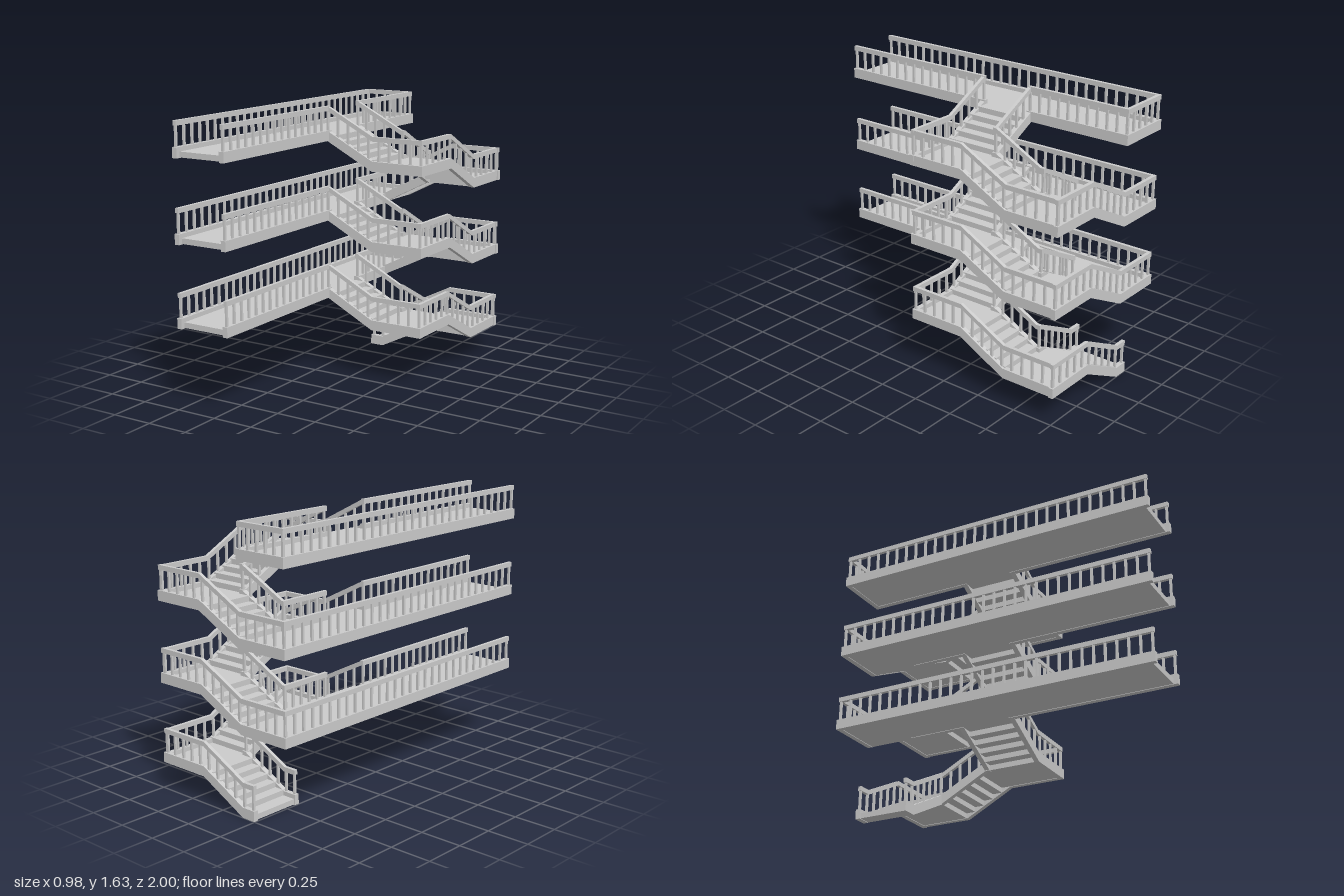
import * as THREE from 'three';
import { mergeGeometries } from 'three/addons/utils/BufferGeometryUtils.js';

const RISE = 0.1583;                 // height of one flight
const LEVEL = RISE * 3;              // three flights per storey
const STRINGER_H = 0.06, STRINGER_W = 0.03;
const RAIL_LOW = 0.175, RAIL_TOP = 0.203, RAIL_W = 0.021;
const POST = 0.013, POST_GAP = 0.067;
const FLOOR_LOW = 0.003, FLOOR_TOP = 0.035;
const STEPS = 5;

const mat = new THREE.MeshStandardMaterial({ color: 0xcccccc, flatShading: true });

function mesh(geo, name) {
  const m = new THREE.Mesh(geo, mat);
  m.name = name;
  return m;
}

// height of a polyline [[s, y], ...] at s
function heightAt(pts, s) {
  for (let i = 1; i < pts.length; i++) {
    const [s0, y0] = pts[i - 1], [s1, y1] = pts[i];
    if (s <= s1) return y0 + (y1 - y0) * (s - s0) / (s1 - s0);
  }
  return pts[pts.length - 1][1];
}

// band following the polyline between two heights above it
function band(pts, low, high, width, trim) {
  const p = pts.map(([s, y]) => [s, y]);
  p[0][0] += trim;
  p[p.length - 1][0] -= trim;
  const outline = [
    ...p.map(([s, y]) => new THREE.Vector2(s, y + low)),
    ...p.reverse().map(([s, y]) => new THREE.Vector2(s, y + high)),
  ];
  const geo = new THREE.ExtrudeGeometry(new THREE.Shape(outline), { depth: width, bevelEnabled: false });
  return geo.translate(0, 0, -width / 2);
}

// stringer, balusters and handrail along x or z at a fixed cross position
function railing(name, axis, at, pts) {
  const g = new THREE.Group();
  g.name = name;
  g.add(mesh(band(pts, 0, STRINGER_H, STRINGER_W, 0), 'stringer'));
  g.add(mesh(band(pts, RAIL_LOW, RAIL_TOP, RAIL_W, 0.005), 'handrail'));

  const s0 = pts[0][0] + 0.016, s1 = pts[pts.length - 1][0] - 0.016;
  const n = Math.max(1, Math.round((s1 - s0) / POST_GAP));
  const posts = [];
  for (let i = 0; i <= n; i++) {
    const s = s0 + (s1 - s0) * i / n;
    const low = STRINGER_H - 0.008, high = RAIL_LOW + 0.008;
    const post = new THREE.BoxGeometry(POST, high - low, POST);
    posts.push(post.translate(s, heightAt(pts, s) + (low + high) / 2, 0));
  }
  g.add(mesh(mergeGeometries(posts), 'balusters'));

  if (axis === 'z') {
    g.rotation.y = -Math.PI / 2;
    g.position.x = at;
  } else {
    g.position.z = at;
  }
  return g;
}

// floor plate resting between the stringers
function floor(name, x0, x1, z0, z1, y) {
  const geo = new THREE.BoxGeometry(x1 - x0, FLOOR_TOP - FLOOR_LOW, z1 - z0);
  geo.translate((x0 + x1) / 2, y + (FLOOR_TOP + FLOOR_LOW) / 2, (z0 + z1) / 2);
  return mesh(geo, name);
}

// steps climbing from "from" to "to" along an axis, between cross limits c0 and c1
function flight(name, axis, from, to, c0, c1, y) {
  const g = new THREE.Group();
  g.name = name;
  const run = (to - from) / STEPS;
  for (let i = 0; i < STEPS; i++) {
    const a = Math.min(from + run * i, from + run * (i + 1));
    const b = a + Math.abs(run);
    const h = y + RISE * (i + 1) / STEPS;
    g.add(axis === 'x' ? floor('step', a, b, c0, c1, h) : floor('step', c0, c1, a, b, h));
  }
  return g;
}

export function createModel() {
  const model = new THREE.Group();
  model.name = 'staircase';

  for (let k = 0; k < 3; k++) {
    const storey = new THREE.Group();
    storey.name = 'storey' + (k + 1);
    const y0 = k * LEVEL, y1 = y0 + RISE, y2 = y1 + RISE, y3 = y2 + RISE;
    const top = k === 2;

    // back flight, rising to the left side
    if (k === 0) storey.add(floor('groundPlate', -0.24, -0.155, -0.985, -0.67, y0));
    storey.add(flight('backFlight', 'x', -0.157, 0.152, -0.985, -0.67, y0));
    storey.add(railing('backOuterRailing', 'x', -0.985,
      [[k ? -0.492 : -0.247, y0], [-0.16, y0], [0.15, y1], [0.488, y1]]));
    storey.add(railing('backInnerRailing', 'x', -0.67,
      [[k ? -0.176 : -0.247, y0], [-0.16, y0], [0.15, y1], [0.17, y1]]));

    // side flight, rising to the front
    storey.add(floor('backLanding', 0.15, 0.465, -0.985, -0.66, y1));
    storey.add(flight('sideFlight', 'z', -0.662, -0.35, 0.155, 0.465, y1));
    storey.add(railing('sideOuterRailing', 'z', 0.465,
      [[-1, y1], [-0.655, y1], [-0.355, y2], [0, y2]]));
    storey.add(railing('sideInnerRailing', 'z', 0.156,
      [[-0.685, y1], [-0.655, y1], [-0.355, y2], [-0.33, y2]]));

    // front flight, rising to the walkway
    storey.add(floor('frontLanding', 0.15, 0.465, -0.352, -0.015, y2));
    storey.add(flight('frontFlight', 'x', 0.152, -0.157, -0.345, -0.015, y2));
    storey.add(railing('frontOuterRailing', 'x', -0.016,
      [[-0.176, y3], [-0.16, y3], [0.15, y2], [0.481, y2]]));
    storey.add(railing('frontInnerRailing', 'x', -0.345,
      [[-0.176, y3], [-0.16, y3], [0.15, y2], [0.17, y2]]));

    // long walkway
    storey.add(floor('walkway', -0.477, -0.156, -0.985, 0.975, y3));
    storey.add(railing('walkwayOuterRailing', 'z', -0.477, [[-1, y3], [1, y3]]));
    storey.add(railing('walkwayInnerRailing', 'z', -0.161, [[-0.031, y3], [1, y3]]));
    storey.add(railing('wellRailing', 'z', -0.161, [[top ? -1 : -0.685, y3], [-0.33, y3]]));
    if (top) storey.add(railing('walkwayEndRailing', 'x', -0.985, [[-0.492, y3], [-0.146, y3]]));

    model.add(storey);
  }
  return model;
}
